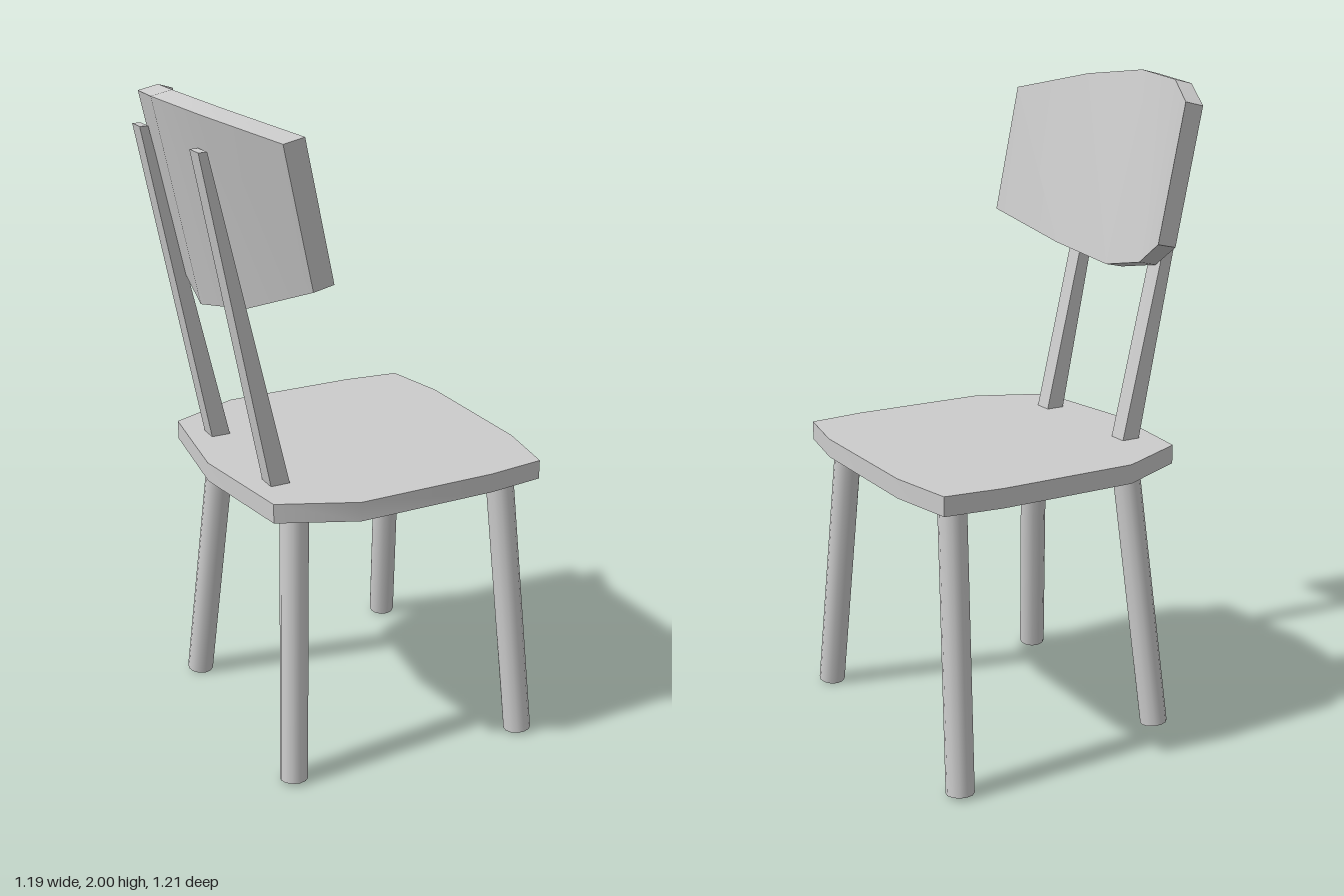
import * as THREE from 'three';
import { toCreasedNormals } from 'three/addons/utils/BufferGeometryUtils.js';

const material = new THREE.MeshStandardMaterial({ color: 0xcccccc });
const CREASE = 0.6;

function addMesh(parent, name, geometry) {
  const mesh = new THREE.Mesh(geometry, material);
  mesh.name = name;
  parent.add(mesh);
  return mesh;
}

// Flat slab with a symmetric faceted outline (half outline: x, z from front to back)
function seatGeometry() {
  const half = [[0.231, 0.455], [0.437, 0.418], [0.457, 0.24], [0.457, -0.19], [0.357, -0.413]];
  const outline = [
    ...half,
    [0, -0.46],
    ...half.map(([x, z]) => [-x, z]).reverse(),
  ].map(([x, z]) => new THREE.Vector2(x, z));
  const slab = new THREE.ExtrudeGeometry(new THREE.Shape(outline), { depth: 0.058, bevelEnabled: false });
  slab.rotateX(Math.PI / 2).translate(0, 0.907, 0);
  return toCreasedNormals(slab, CREASE);
}

// Round splayed leg between two points
function addLeg(parent, name, top, bottom) {
  const axis = top.clone().sub(bottom);
  const leg = addMesh(parent, name, new THREE.CylinderGeometry(0.042, 0.042, axis.length(), 12));
  leg.position.copy(top).add(bottom).multiplyScalar(0.5);
  leg.quaternion.setFromUnitVectors(new THREE.Vector3(0, 1, 0), axis.normalize());
}

// Square post leaning back, getting thinner in depth towards the top
function postGeometry(x) {
  const { lerp } = THREE.MathUtils;
  const geometry = new THREE.BoxGeometry(0.06, 1, 0.06);
  const p = geometry.attributes.position;
  for (let i = 0; i < p.count; i++) {
    const t = p.getY(i) + 0.5;
    const z = p.getZ(i) * lerp(1, 0.42, t) + lerp(-0.333, -0.542, t);
    p.setXYZ(i, p.getX(i) + x, lerp(0.88, 1.875, t), z);
  }
  geometry.computeVertexNormals();
  return geometry;
}

// Curved, tilted panel built from five four-cornered cross-sections
function backrestGeometry() {
  // x, top y, top z, bottom y, bottom z of the front face
  const half = [[0.448, 1.932, -0.35, 1.54, -0.269], [0.228, 1.981, -0.478, 1.45, -0.365]];
  const columns = [
    ...half.map(([x, ...rest]) => [-x, ...rest]),
    [0, 2.0, -0.525, 1.408, -0.403],
    ...half.slice().reverse(),
  ];
  const drop = 0.013, depth = 0.061;
  const positions = columns.flatMap(([x, ty, tz, by, bz]) => [
    x, ty, tz, x, by, bz, x, by - drop, bz - depth, x, ty - drop, tz - depth,
  ]);
  const index = [0, 3, 2, 0, 2, 1];
  for (let i = 0; i < columns.length - 1; i++) {
    for (let j = 0; j < 4; j++) {
      const a = i * 4 + j, b = i * 4 + (j + 1) % 4;
      index.push(a, b, b + 4, a, b + 4, a + 4);
    }
  }
  const end = (columns.length - 1) * 4;
  index.push(end, end + 1, end + 2, end, end + 2, end + 3);
  const geometry = new THREE.BufferGeometry();
  geometry.setAttribute('position', new THREE.Float32BufferAttribute(positions, 3));
  geometry.setIndex(index);
  return toCreasedNormals(geometry, CREASE);
}

export function createModel() {
  const model = new THREE.Group();
  model.name = 'chair';
  const chair = new THREE.Group();
  chair.name = 'turnedChair';
  model.add(chair);

  addMesh(chair, 'seat', seatGeometry());
  addMesh(chair, 'backrest', backrestGeometry());

  // Mirrored legs and back posts
  for (const side of [1, -1]) {
    const label = side > 0 ? 'Left' : 'Right';
    addLeg(chair, 'frontLeg' + label,
      new THREE.Vector3(side * 0.338, 0.87, 0.339), new THREE.Vector3(side * 0.442, 0.006, 0.377));
    addLeg(chair, 'rearLeg' + label,
      new THREE.Vector3(side * 0.26, 0.87, -0.303), new THREE.Vector3(side * 0.364, 0.006, -0.366));
    addMesh(chair, 'backPost' + label, postGeometry(side * 0.214));
  }

  // The chair stands turned on the floor
  chair.rotation.y = THREE.MathUtils.degToRad(120);
  chair.position.set(0.004, 0, 0.007);
  return model;
}
